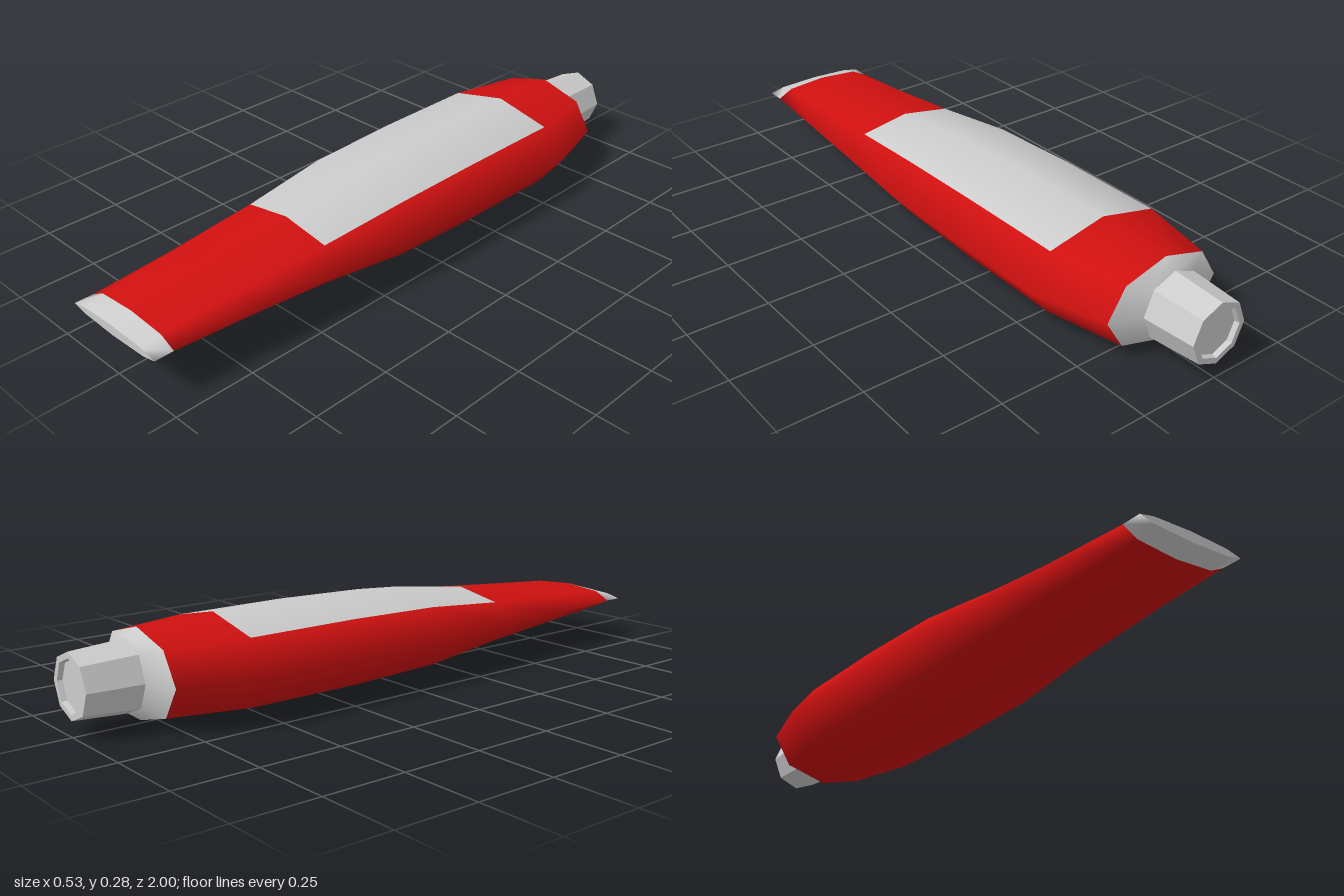
import * as THREE from 'three';

const CENTER_Y = 0.14;
const RED = 0xd01010;
const GREY = 0xcccccc;

// Eight-sided ring: half width w, half height h, diagonal corner (cx, cy)
function ring([z, w, h, cx = w * 0.707, cy = h * 0.7]) {
  return [[w, 0], [cx, cy], [0, h], [-cx, cy], [-w, 0], [-cx, -cy], [0, -h], [cx, -cy]]
    .map(([x, y]) => [x, y + CENTER_Y, z]);
}

// Skin over rings listed from front to back; pick(row, column) chooses the quads kept
function loft(sections, pick = () => true) {
  const geometry = new THREE.BufferGeometry();
  geometry.setAttribute('position',
    new THREE.Float32BufferAttribute(sections.flatMap(ring).flat(), 3));
  const all = [], kept = [];
  for (let i = 0; i < sections.length - 1; i++) {
    for (let j = 0; j < 8; j++) {
      const a = i * 8 + j, b = i * 8 + (j + 1) % 8, c = a + 8, d = b + 8;
      const quad = [a, c, b, b, c, d];
      all.push(...quad);
      if (pick(i, j)) kept.push(...quad);
    }
  }
  // Normals come from the full skin so that neighbouring patches shade as one
  geometry.setIndex(all);
  geometry.computeVertexNormals();
  geometry.setIndex(kept);
  return geometry;
}

export function createModel() {
  const group = new THREE.Group();
  const add = (name, geometry, color = GREY, flatShading = false) => {
    const mesh = new THREE.Mesh(geometry,
      new THREE.MeshStandardMaterial({ color, flatShading }));
    mesh.name = name;
    group.add(mesh);
  };

  // Squeezed tube body, widest near the back and flattening to the front
  const body = [
    [0.94, 0.18, 0.035, 0.13, 0.025],
    [0.68, 0.204, 0.062, 0.146, 0.043],
    [0.4, 0.23, 0.09, 0.162, 0.063],
    [0.11, 0.258, 0.126, 0.183, 0.09],
    [-0.2, 0.265, 0.139, 0.188, 0.098],
    [-0.56, 0.265, 0.139, 0.188, 0.098],
    [-0.8, 0.198, 0.131, 0.14, 0.093],
  ];
  const isLabel = (i, j) => i >= 2 && i <= 4 && (j === 1 || j === 2);
  add('tubeBody', loft(body, (i, j) => !isLabel(i, j)), RED);
  add('labelPanel', loft(body, isLabel));

  // Crimped front end and its narrow closing face
  const tip = [1, 0.18, 0.016, 0.13, 0.011];
  add('crimp', loft([tip, body[0]]));
  add('crimpEnd', loft([[1, 0, 0], tip]), GREY, true);

  // Shoulder stepping in to the cap
  add('shoulder', loft([body[body.length - 1], [-0.836, 0.105, 0.105], [-0.836, 0.08, 0.08]]));

  // Tapered octagonal cap with a shallow recess in its end
  const cap = [[-0.83, 0.105], [-1, 0.094], [-1, 0.076], [-0.985, 0.073], [-0.985, 0]];
  add('cap', loft(cap.map(([z, r]) => [z, r, r, r * 0.707, r * 0.707])), GREY, true);

  return group;
}
